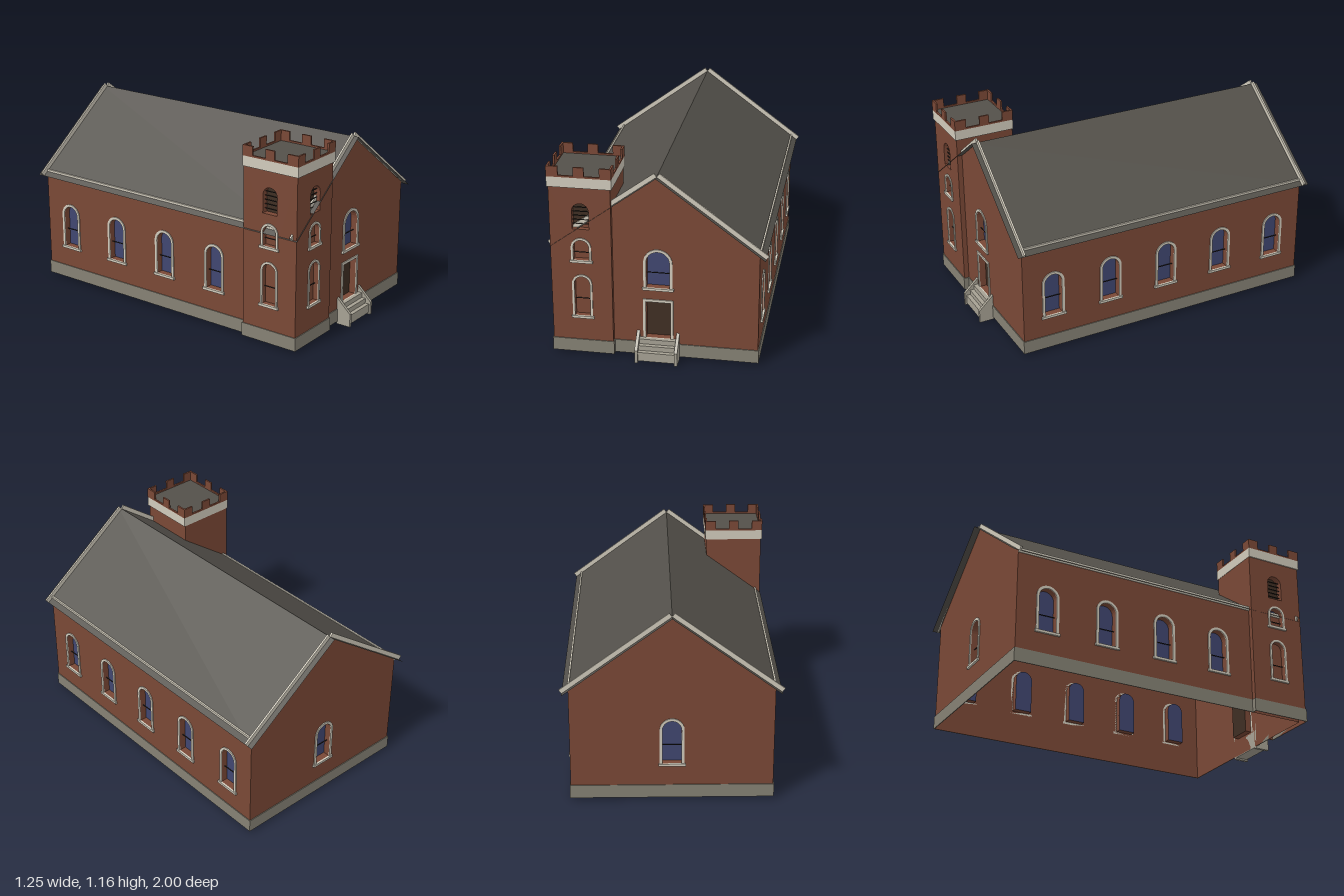
import * as THREE from 'three';

const mat = (name, color, side = THREE.FrontSide) => {
  const m = new THREE.MeshStandardMaterial({ color, side });
  m.name = name;
  return m;
};
const brick = mat('brick', 0x7a4836, THREE.DoubleSide);
const trim = mat('pale trim', 0xd0cabb);
const stone = mat('foundation stone', 0x858174);
const stepStone = mat('step stone', 0xa6a193);
const slate = mat('dark roof', 0x53504a, THREE.DoubleSide);
const glass = mat('blue glass', 0x404670, THREE.DoubleSide);
const wood = mat('dark wood', 0x3f2e23, THREE.DoubleSide);
const bar = mat('glazing bar', 0x2a2623);

const BASE = 0.015, EAVE = 0.695, RIDGE = 1.12, SLOPE = 0.738;
const HALF = 0.575, FRONT = 0.91, BACK = -0.96;
const T = { x0: -0.605, x1: -0.255, z0: 0.58, z1: 0.94, top: 1.04 };
const RECESS = 0.04;

function add(parent, name, geometry, material, x = 0, y = 0, z = 0) {
  const m = new THREE.Mesh(geometry, material);
  m.name = name;
  m.position.set(x, y, z);
  parent.add(m);
  return m;
}

// Box given by its minimum and maximum corners
function box(parent, name, material, x0, x1, y0, y1, z0, z1) {
  return add(parent, name, new THREE.BoxGeometry(x1 - x0, y1 - y0, z1 - z0), material,
    (x0 + x1) / 2, (y0 + y1) / 2, (z0 + z1) / 2);
}

// Outline of an opening, round-headed or square
function outline(u, y0, y1, h, arched) {
  const p = [[u - h, y0], [u + h, y0]];
  if (arched) {
    for (let i = 0; i <= 12; i++) {
      const a = (i / 12) * Math.PI;
      p.push([u + h * Math.cos(a), y1 - h + h * Math.sin(a)]);
    }
  } else p.push([u + h, y1], [u - h, y1]);
  return p.map(([x, y]) => new THREE.Vector2(x, y));
}

// Reveal running from the wall face back to the pane
function reveal(points) {
  const pos = [], idx = [];
  points.forEach((p, i) => {
    pos.push(p.x, p.y, 0, p.x, p.y, -RECESS);
    const a = 2 * i, b = 2 * ((i + 1) % points.length);
    idx.push(a, a + 1, b, b, a + 1, b + 1);
  });
  const g = new THREE.BufferGeometry();
  g.setAttribute('position', new THREE.Float32BufferAttribute(pos, 3));
  g.setIndex(idx);
  const flat = g.toNonIndexed();
  flat.computeVertexNormals();
  return flat;
}

// Wall in its own plane, facing local +z, with recessed openings
function wall(parent, name, corners, openings, position, turn) {
  const g = new THREE.Group();
  g.name = name;
  g.position.set(...position);
  g.rotation.y = turn;
  parent.add(g);
  const shape = new THREE.Shape(corners.map(([x, y]) => new THREE.Vector2(x, y)));
  for (const o of openings) {
    const arched = o.kind !== 'door', inner = outline(o.u, o.y0, o.y1, o.h, arched);
    shape.holes.push(new THREE.Path(inner));
    add(g, o.kind + 'Reveal', reveal(inner), brick);
    add(g, o.kind + 'Panel', new THREE.ShapeGeometry(new THREE.Shape(inner)),
      o.kind === 'window' ? glass : wood, 0, 0, -RECESS);
    if (o.kind !== 'belfry') {
      const w = o.frame, frame = new THREE.Shape(outline(o.u, o.y0, o.y1 + w, o.h + w, arched));
      frame.holes.push(new THREE.Path(inner));
      add(g, o.kind + 'Frame', new THREE.ExtrudeGeometry(frame, { depth: 0.006, bevelEnabled: false }), trim);
    }
    if (o.kind === 'window') {
      const s = o.h + o.frame + 0.007;
      box(g, 'windowSill', trim, o.u - s, o.u + s, o.y0 - 0.015, o.y0, 0, 0.012);
    }
    for (const y of o.bars || []) {
      const top = y - (o.y1 - o.h);
      const h = top > 0 ? Math.sqrt(Math.max(0, o.h * o.h - top * top)) : o.h;
      box(g, 'glazingBar', bar, o.u - h, o.u + h, y - 0.002, y + 0.002, -0.024, -0.02);
    }
  }
  add(g, name + 'Face', new THREE.ShapeGeometry(shape), brick);
  return g;
}

const naveWindow = u => ({ kind: 'window', u, y0: 0.23, y1: 0.495, h: 0.054, frame: 0.016, bars: [0.337] });
const towerOpenings = u => [
  { kind: 'window', u, y0: 0.25, y1: 0.497, h: 0.045, frame: 0.013, bars: [0.35] },
  { kind: 'window', u, y0: 0.6, y1: 0.724, h: 0.045, frame: 0.013, bars: [0.64] },
  { kind: 'belfry', u, y0: 0.79, y1: 0.945, h: 0.048, bars: [0.815, 0.84, 0.865, 0.89, 0.915] },
];

function buildNave(root) {
  const nave = new THREE.Group();
  nave.name = 'nave';
  root.add(nave);
  const gable = [[-HALF, BASE], [HALF, BASE], [HALF, EAVE], [0, RIDGE], [-HALF, EAVE]];
  wall(nave, 'frontGable', gable, [
    { kind: 'window', u: 0.002, y0: 0.445, y1: 0.669, h: 0.067, frame: 0.016, bars: [0.53] },
    { kind: 'door', u: 0.002, y0: 0.125, y1: 0.355, h: 0.071, frame: 0.016 },
  ], [0, 0, FRONT], 0);
  wall(nave, 'backGable', gable, [naveWindow(0)], [0, 0, BACK], Math.PI);
  const side = (a, b) => [[a, BASE], [b, BASE], [b, EAVE], [a, EAVE]];
  const zs = [0.35, -0.02, -0.395, -0.77];
  wall(nave, 'rightSideWall', side(-FRONT, -BACK), [0.72, ...zs].map(z => naveWindow(-z)), [HALF, 0, 0], Math.PI / 2);
  wall(nave, 'leftSideWall', side(BACK, FRONT), zs.map(naveWindow), [-HALF, 0, 0], -Math.PI / 2);

  // Foundation bands
  const f = 0.005;
  box(nave, 'frontFoundation', stone, T.x1, HALF + f, BASE, 0.095, FRONT, FRONT + f);
  box(nave, 'backFoundation', stone, -HALF - f, HALF + f, BASE, 0.095, BACK - f, BACK);
  box(nave, 'rightFoundation', stone, HALF, HALF + f, BASE, 0.095, BACK, FRONT);
  box(nave, 'leftFoundation', stone, -HALF - f, -HALF, BASE, 0.095, BACK, T.z0);

  // Roof slopes with verge strips and eaves strips
  const reach = 0.61, angle = Math.atan(SLOPE), len = reach / Math.cos(angle);
  for (const s of [-1, 1]) {
    const slope = new THREE.PlaneGeometry(len, 1.945).rotateX(-Math.PI / 2);
    const midY = RIDGE + 0.002 - (SLOPE * reach) / 2;
    add(nave, 'roofSlope', slope, slate, (s * reach) / 2, midY, -0.0275).rotation.z = -s * angle;
    for (const z of [FRONT, BACK - 0.002]) {
      const lift = 0.013;
      add(nave, 'vergeStrip', new THREE.BoxGeometry(len, 0.026, 0.011), trim,
        (s * reach) / 2 + s * lift * Math.sin(angle), midY + lift * Math.cos(angle), z).rotation.z = -s * angle;
    }
    box(nave, 'eavesStrip', trim, s * HALF - 0.005, s * HALF + 0.005, 0.68, 0.707, BACK, FRONT);
  }
}

function buildTower(root) {
  const tower = new THREE.Group();
  tower.name = 'tower';
  root.add(tower);
  const { x0, x1, z0, z1, top } = T, cut = 0.68;
  const full = (a, b) => [[a, BASE], [b, BASE], [b, top], [a, top]];
  wall(tower, 'towerFront', full(x0, x1), towerOpenings(-0.428), [0, 0, z1], 0);
  wall(tower, 'towerLeft', full(z0, z1), towerOpenings(0.76), [x0, 0, 0], -Math.PI / 2);
  // Inner walls stop below the nave roof
  wall(tower, 'towerRight', [[-z1, BASE], [-FRONT, BASE], [-FRONT, cut], [-z0, cut], [-z0, top], [-z1, top]],
    [], [x1, 0, 0], Math.PI / 2);
  wall(tower, 'towerBack', [[-x1, cut], [HALF, cut], [HALF, BASE], [-x0, BASE], [-x0, top], [-x1, top]],
    [], [0, 0, z0], Math.PI);

  const f = 0.005;
  box(tower, 'towerFoundationFront', stone, x0 - f, x1 + f, BASE, 0.095, z1, z1 + f);
  box(tower, 'towerFoundationLeft', stone, x0 - f, x0, BASE, 0.095, z0 - f, z1);
  box(tower, 'towerFoundationRight', stone, x1, x1 + f, BASE, 0.095, FRONT, z1);
  box(tower, 'towerFoundationBack', stone, x0, -HALF, BASE, 0.095, z0 - f, z0);

  // Cornice, flat roof and battlements
  const X0 = -0.612, X1 = -0.246, Z0 = 0.578, Z1 = 0.948, t = 0.011;
  const ring = (name, m, y0, y1, a0, a1, c0, c1) => {
    box(tower, name, m, a0, a1, y0, y1, c1 - t, c1);
    box(tower, name, m, a0, a1, y0, y1, c0, c0 + t);
    box(tower, name, m, a0, a0 + t, y0, y1, c0 + t, c1 - t);
    box(tower, name, m, a1 - t, a1, y0, y1, c0 + t, c1 - t);
  };
  ring('cornice', trim, top, 1.1, X0, X1, Z0, Z1);
  ring('parapet', brick, 1.1, 1.11, X0, X1, Z0, Z1);
  add(tower, 'towerRoof', new THREE.PlaneGeometry(X1 - X0 - t, Z1 - Z0 - t).rotateX(-Math.PI / 2), slate,
    (X0 + X1) / 2, 1.1, (Z0 + Z1) / 2);
  for (const [a, b] of [[0, 0.067], [0.153, 0.213], [0.299, 0.366]]) {
    for (const z of [Z0, Z1 - t]) box(tower, 'merlon', brick, X0 + a, X0 + b, 1.11, 1.162, z, z + t);
    for (const x of [X0, X1 - t]) box(tower, 'merlon', brick, x, x + t, 1.11, 1.162, Z0 + a, Z0 + b);
  }
}

function buildSteps(root) {
  const steps = new THREE.Group();
  steps.name = 'entranceSteps';
  root.add(steps);
  [[0.125, 0.94], [0.095, 0.965], [0.065, 0.99]].forEach(([y, z], i) =>
    box(steps, 'step', stepStone, -0.105, 0.107, 0.01, y, i ? 0.94 + (i - 1) * 0.025 : FRONT, z));
  // Sloping cheek walls
  const cheek = new THREE.Shape([[FRONT, 0], [1, 0], [1, 0.08], [FRONT, 0.165]].map(p => new THREE.Vector2(...p)));
  for (const x of [-0.104, 0.125]) {
    const g = new THREE.ExtrudeGeometry(cheek, { depth: 0.018, bevelEnabled: false });
    add(steps, 'cheekWall', g, stepStone, x, 0, 0).rotation.y = -Math.PI / 2;
  }
}

export function createModel() {
  const root = new THREE.Group();
  root.name = 'church';
  buildNave(root);
  buildTower(root);
  buildSteps(root);
  return root;
}
